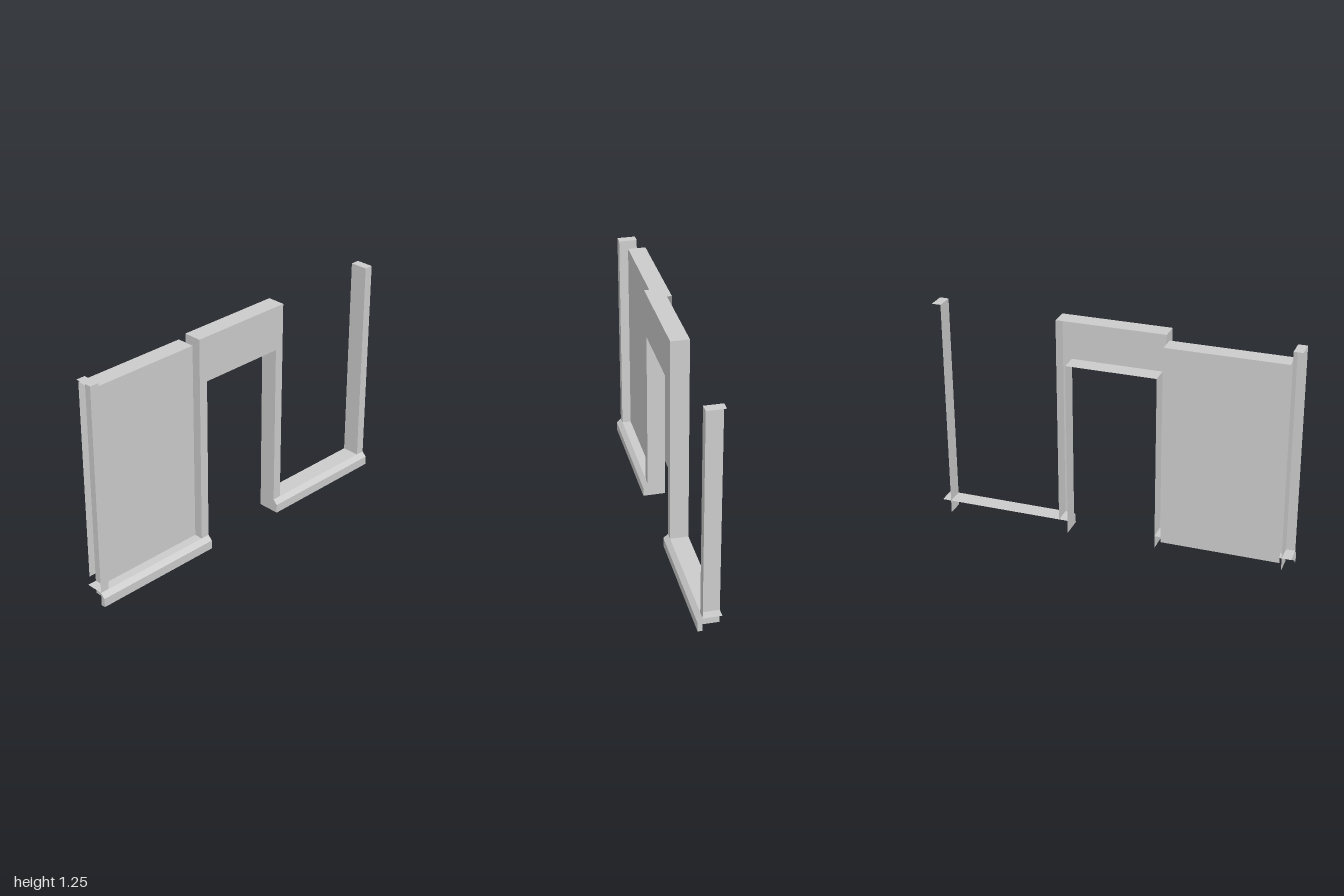
import * as THREE from 'three';

const material = new THREE.MeshStandardMaterial({ color: 0xcccccc, flatShading: true, side: THREE.DoubleSide });

// Depth planes of the frame, and the main heights
const BACK = -0.0375, FRONT = 0.0625, TRIM = 0.0875;
const TOP = 1.25, SILL = 0.075, HEAD = 1.0;

function addMesh(parent, name, geometry) {
  const mesh = new THREE.Mesh(geometry, material);
  mesh.name = name;
  parent.add(mesh);
  return mesh;
}

// Geometry from a list of four-cornered faces, corners counter-clockwise
function quads(faces) {
  const points = faces.flatMap(([a, b, c, d]) => [a, b, c, a, c, d]);
  const geometry = new THREE.BufferGeometry();
  geometry.setAttribute('position', new THREE.Float32BufferAttribute(points.flat(), 3));
  geometry.computeVertexNormals();
  return geometry;
}

// Open strip: a [z, y] profile swept along x
function sweep(profile, x0, x1) {
  return profile.slice(1).map(([z, y], i) => {
    const [pz, py] = profile[i];
    return [[x0, py, pz], [x0, y, z], [x1, y, z], [x1, py, pz]];
  });
}

// Flat face across x, outlined by [z, y] corners that run counter-clockwise seen from +x
function across(x, outline, dir) {
  const corners = outline.map(([z, y]) => [x, y, z]);
  return dir > 0 ? corners : corners.reverse();
}

const wall = (x, y0, y1, dir) =>
  across(x, [[FRONT, y0], [BACK, y0], [BACK, y1], [FRONT, y1]], dir);

export function createModel() {
  const model = new THREE.Group();
  model.name = 'doorwayFrame';

  // Door surround: front face in an upside-down U
  const surround = new THREE.Group();
  surround.name = 'doorSurround';
  model.add(surround);
  const outline = new THREE.Shape([
    [-0.3, SILL], [-0.25, SILL], [-0.25, HEAD], [0.25, HEAD],
    [0.25, SILL], [0.3, SILL], [0.3, TOP], [-0.3, TOP],
  ].map(([x, y]) => new THREE.Vector2(x, y)));
  addMesh(surround, 'surroundFront', new THREE.ShapeGeometry(outline)).position.z = FRONT;
  addMesh(surround, 'surroundTop', quads(sweep([[BACK, TOP], [FRONT, TOP]], -0.3, 0.3)));
  addMesh(surround, 'lintelUnderside', quads(sweep([[FRONT, HEAD], [BACK, HEAD]], -0.25, 0.25)));

  for (const s of [1, -1]) {
    const side = s > 0 ? 'left' : 'right';
    const span = (a, b) => (s > 0 ? [a, b] : [-b, -a]);

    // Door jamb: outer side and opening side
    addMesh(surround, side + 'Jamb', quads([
      wall(s * 0.3, SILL, TOP, s),
      wall(s * 0.25, 0, HEAD, -s),
    ]));

    // Base sill with a bevelled trim along its front, closed at both ends
    const cap = [[TRIM, 0], [FRONT, 0], [FRONT, SILL], [TRIM, 0.05]];
    addMesh(model, side + 'Sill', quads([
      ...sweep([[BACK, SILL], [FRONT, SILL], [TRIM, 0.05], [TRIM, 0]], ...span(0.25, 1)),
      across(s * 0.25, cap, -s),
      across(s, cap, s),
    ]));

    // End post, open on its outer side and back
    addMesh(model, side + 'EndPost', quads([
      ...sweep([[BACK, TOP], [FRONT, TOP], [FRONT, SILL]], ...span(0.95, 1)),
      wall(s * 0.95, 0, TOP, -s),
    ]));
  }

  // Wall panel filling the right bay, set back from the frame
  addMesh(model, 'wallPanel', quads(sweep(
    [[-0.0875, SILL], [-0.0875, 1.2], [0.0125, 1.2], [0.0125, SILL]], -0.95, -0.3)));

  return model;
}
